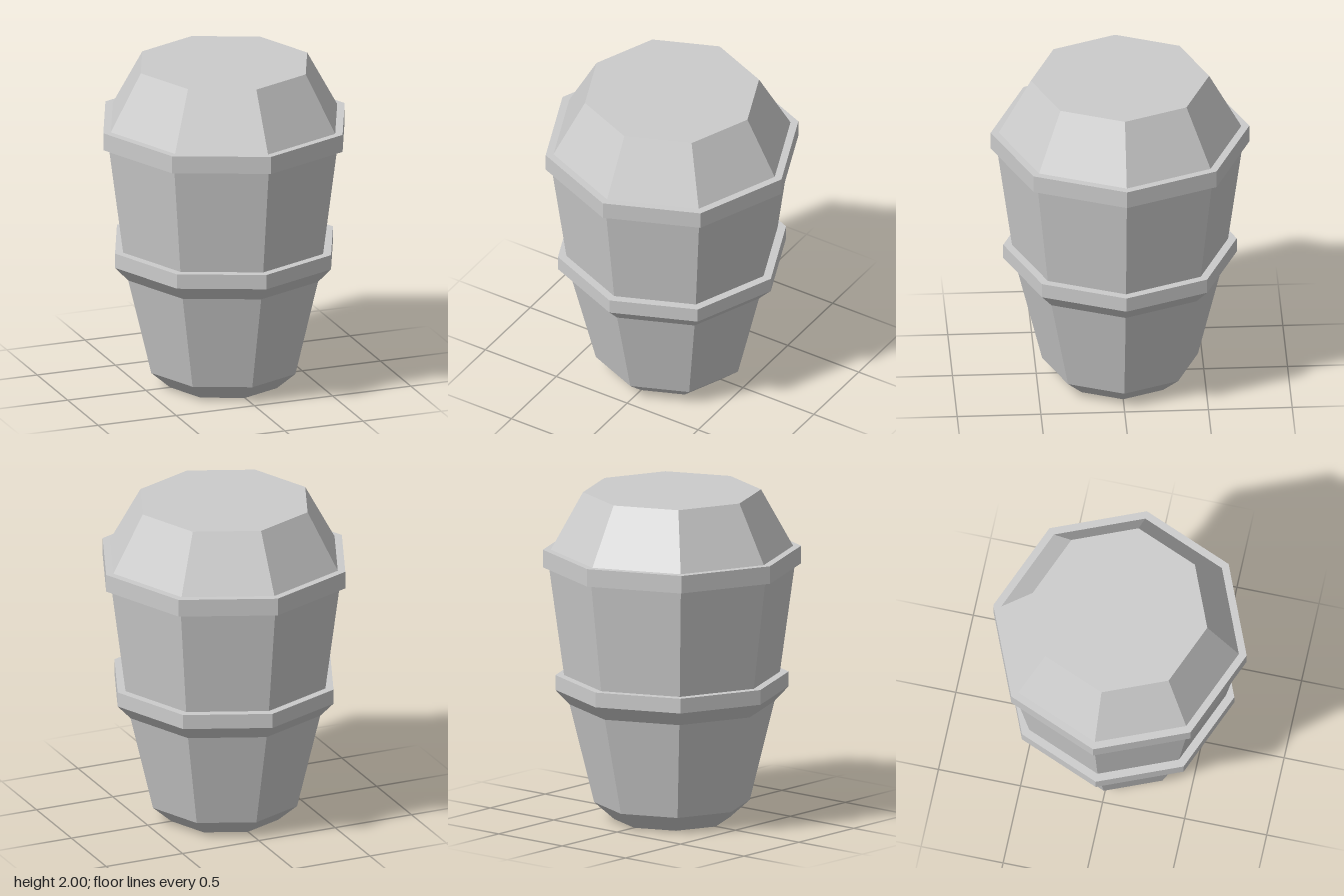
import * as THREE from 'three';

const SIDES = 8;
const material = new THREE.MeshStandardMaterial({ color: 0xcccccc, flatShading: true });

// Faceted ring turned from an [radius, height] profile listed bottom to top
function turned(name, profile) {
  const points = profile.map(([r, y]) => new THREE.Vector2(r, y));
  const geometry = new THREE.LatheGeometry(points, SIDES).toNonIndexed();
  geometry.computeVertexNormals();
  const mesh = new THREE.Mesh(geometry, material);
  mesh.name = name;
  return mesh;
}

export function createModel() {
  const model = new THREE.Group();
  model.name = 'octagonalCup';
  model.add(
    // closed, chamfered foot and tapering lower body
    turned('foot', [[0, 0], [0.345, 0], [0.465, 0.105]]),
    turned('lowerBody', [[0.465, 0.105], [0.612, 0.705]]),
    // flared collar with a flat ledge on top
    turned('collar', [[0.612, 0.705], [0.697, 0.795], [0.697, 0.885], [0.645, 0.885]]),
    turned('upperBody', [[0.645, 0.885], [0.735, 1.545]]),
    // projecting rim band
    turned('rim', [[0.735, 1.545], [0.772, 1.545], [0.772, 1.652], [0.724, 1.652]]),
    // sloped, flat-topped cap
    turned('cap', [[0.724, 1.652], [0.532, 2], [0, 2]])
  );
  return model;
}
